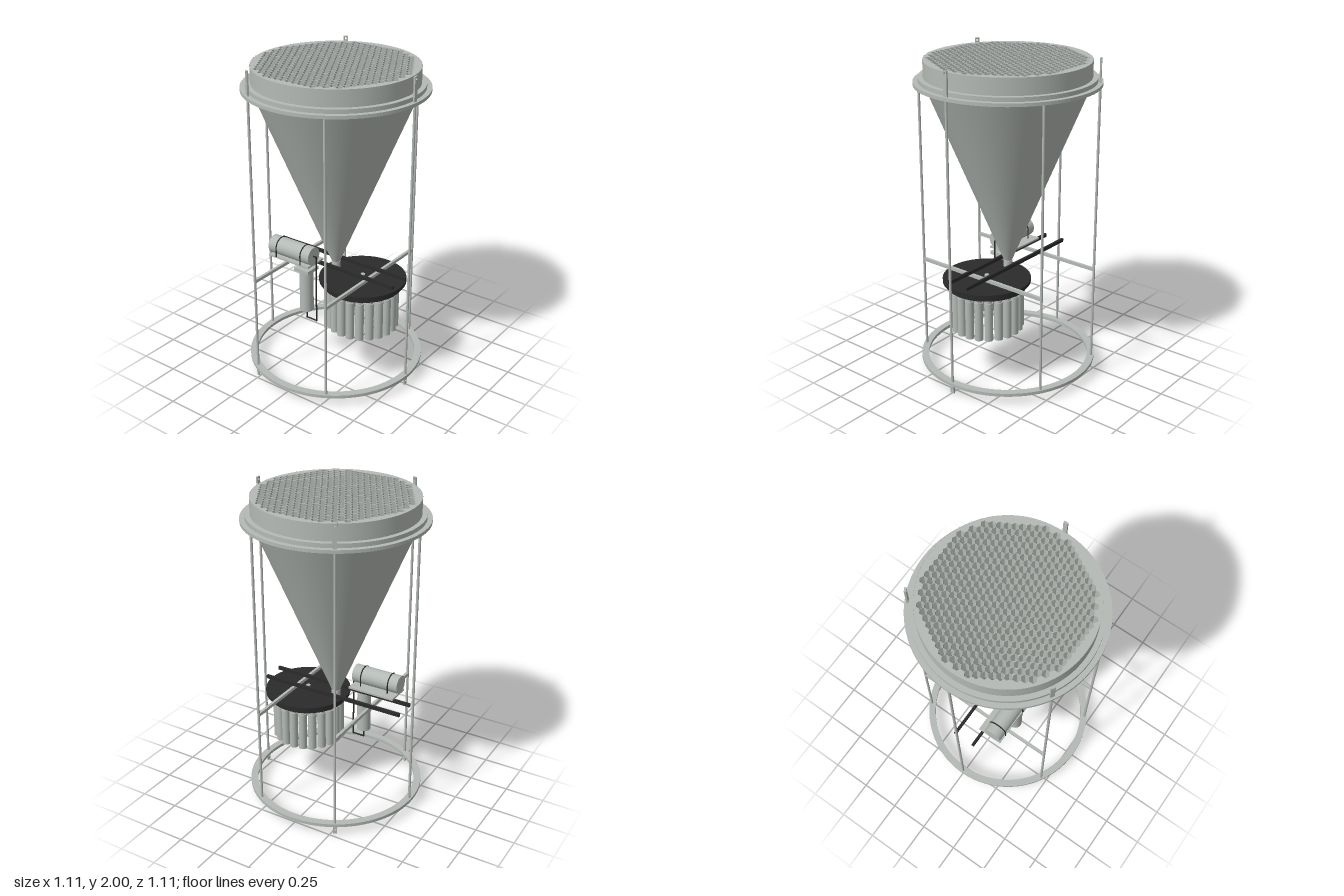
import * as THREE from 'three';

const grey = new THREE.MeshStandardMaterial({ color: 0xb4bab5, side: THREE.DoubleSide });
grey.name = 'light grey';
const black = new THREE.MeshStandardMaterial({ color: 0x2b2b2b });
black.name = 'black';

export function createModel() {
  const model = new THREE.Group();
  model.name = 'funnelTrap';

  const add = (name, geo, mat, x = 0, y = 0, z = 0, parent = model) => {
    const m = new THREE.Mesh(geo, mat);
    m.name = name;
    m.position.set(x, y, z);
    parent.add(m);
    return m;
  };
  const box = (name, mat, w, h, d, x, y, z) => add(name, new THREE.BoxGeometry(w, h, d), mat, x, y, z);
  // upright cylinder between two heights
  const post = (name, mat, r, y0, y1, x, z, seg = 32, parent = model) =>
    add(name, new THREE.CylinderGeometry(r, r, y1 - y0, seg), mat, x, (y0 + y1) / 2, z, parent);
  // flat ring of rectangular section, each face with its own sharp edges
  const ring = (name, r0, r1, y0, y1) => {
    const s = new THREE.Shape().absarc(0, 0, r1, 0, Math.PI * 2);
    s.holes.push(new THREE.Path().absarc(0, 0, r0, 0, Math.PI * 2, true));
    const g = new THREE.ExtrudeGeometry(s, { depth: y1 - y0, bevelEnabled: false, curveSegments: 96 });
    return add(name, g.rotateX(-Math.PI / 2), grey, 0, y0, 0);
  };

  // frame rings
  ring('baseRing', 0.51, 0.555, 0.055, 0.075);
  ring('topRing', 0.485, 0.555, 1.835, 1.855);
  ring('collarRing', 0.485, 0.525, 1.855, 1.88);

  // funnel, rim and outlet
  const profile = [[0.025, 0.69], [0.025, 0.715], [0.493, 1.84]].map(p => new THREE.Vector2(...p));
  add('funnel', new THREE.CylinderGeometry(0.493, 0.027, 1.13, 96, 1, true), grey, 0, 1.275, 0);
  add('funnelNeck', new THREE.LatheGeometry(profile.slice(0, 2), 32), grey);
  add('rim', new THREE.CylinderGeometry(0.495, 0.495, 0.125, 96, 1, true), grey, 0, 1.9175, 0);
  post('outlet', grey, 0.028, 0.655, 0.705, 0, 0);

  // honeycomb baffle
  const pitch = 0.0411, row = pitch * Math.sqrt(3) / 2, cell = 0.0395 / Math.sqrt(3);
  const baffle = new THREE.Shape().absarc(0, 0, 0.4945, 0, Math.PI * 2);
  for (let j = -12; j <= 12; j++) {
    for (let i = -12; i <= 12; i++) {
      const cx = (i + (j % 2 ? 0.5 : 0)) * pitch, cy = j * row;
      if (Math.hypot(cx, cy) > 0.463) continue;
      const pts = [];
      for (let k = 0; k < 6; k++) {
        const a = Math.PI / 6 - k * Math.PI / 3;
        pts.push(new THREE.Vector2(cx + cell * Math.cos(a), cy + cell * Math.sin(a)));
      }
      baffle.holes.push(new THREE.Path(pts));
    }
  }
  const baffleGeo = new THREE.ExtrudeGeometry(baffle, { depth: 0.1, bevelEnabled: false, curveSegments: 48 });
  add('honeycombBaffle', baffleGeo.rotateX(-Math.PI / 2), grey, 0, 1.88, 0);

  // six uprights, every second one with a lifting eye at both ends
  const eyePlate = (h, holeY) => {
    const s = new THREE.Shape();
    s.moveTo(-0.013, 0).lineTo(0.013, 0).lineTo(0.013, h).lineTo(-0.013, h).closePath();
    s.holes.push(new THREE.Path().absarc(0, holeY, 0.007, 0, Math.PI * 2, true));
    const g = new THREE.ExtrudeGeometry(s, { depth: 0.011, bevelEnabled: false, curveSegments: 10 });
    return g.translate(0, 0, -0.0055);
  };
  const topEye = eyePlate(0.145, 0.13), lowEye = eyePlate(0.055, 0.026);
  for (let i = 0; i < 6; i++) {
    const a = i * Math.PI / 3, x = 0.538 * Math.cos(a), z = 0.538 * Math.sin(a);
    post('upright', grey, 0.008, 0.06, 1.85, x, z, 16);
    if (i % 2) continue;
    for (const [name, g, y] of [['liftingEye', topEye, 1.855], ['lowerEye', lowEye, 0]]) {
      add(name, g, grey, x, y, z).rotation.y = Math.PI / 2 - a;
    }
  }

  // cross bars and the rails lying on them
  for (const s of [-1, 1]) {
    box('crossBar', grey, 0.018, 0.02, 0.932, s * 0.269, 0.675, 0);
    box('rail', black, 0.96, 0.022, 0.016, -0.005, 0.698, s * 0.068);
  }

  // carousel with sample bottles
  const carousel = new THREE.Group();
  carousel.name = 'carousel';
  carousel.position.set(0.206, 0, 0);
  model.add(carousel);
  post('upperDisc', black, 0.27, 0.641, 0.663, 0, 0, 64, carousel);
  post('lowerDisc', black, 0.25, 0.615, 0.641, 0, 0, 64, carousel);
  post('hub', grey, 0.014, 0.66, 0.678, 0, 0, 20, carousel);
  const count = 21;
  for (let i = 0; i < count; i++) {
    const a = Math.PI + i * Math.PI * 2 / count, x = 0.202 * Math.cos(a), z = 0.202 * Math.sin(a);
    post('bottle', grey, 0.0265, 0.335, 0.585, x, z, 24, carousel);
    post('bottleNeck', grey, 0.021, 0.585, 0.616, x, z, 20, carousel);
  }

  // horizontal housing on its tray
  const hz = 0.145, hy = 0.775;
  const housing = new THREE.CylinderGeometry(0.058, 0.058, 0.315, 40).rotateZ(Math.PI / 2);
  add('housing', housing, grey, -0.222, hy, hz);
  box('tray', grey, 0.31, 0.012, 0.16, -0.222, 0.715, 0.122);
  for (const x of [-0.317, -0.127]) {
    // strap over the top with straight legs down to the tray
    const strap = new THREE.TorusGeometry(0.058, 0.004, 8, 32, Math.PI).rotateY(Math.PI / 2);
    add('strap', strap, black, x, hy, hz);
    for (const s of [-1, 1]) post('strapLeg', black, 0.004, 0.718, hy, x, hz + s * 0.058, 8);
  }

  // vertical canister hung below the tray
  post('canister', grey, 0.044, 0.383, 0.665, -0.123, hz, 40);
  box('canisterBracket', grey, 0.11, 0.022, 0.11, -0.123, 0.675, hz);
  post('canisterStem', grey, 0.025, 0.68, 0.712, -0.123, hz, 20);

  // cable joining housing and canister
  const path = new THREE.CurvePath();
  const pts = [[-0.066, hy], [-0.046, hy], [-0.046, 0.322], [-0.123, 0.322], [-0.123, 0.386]]
    .map(([x, y]) => new THREE.Vector3(x, y, hz));
  for (let i = 0; i < pts.length - 1; i++) {
    const d = pts[i + 1].clone().sub(pts[i]);
    const seg = add('cable', new THREE.CylinderGeometry(0.005, 0.005, d.length() + 0.008, 10), black);
    seg.position.copy(pts[i]).addScaledVector(d, 0.5);
    seg.quaternion.setFromUnitVectors(new THREE.Vector3(0, 1, 0), d.normalize());
  }

  return model;
}
